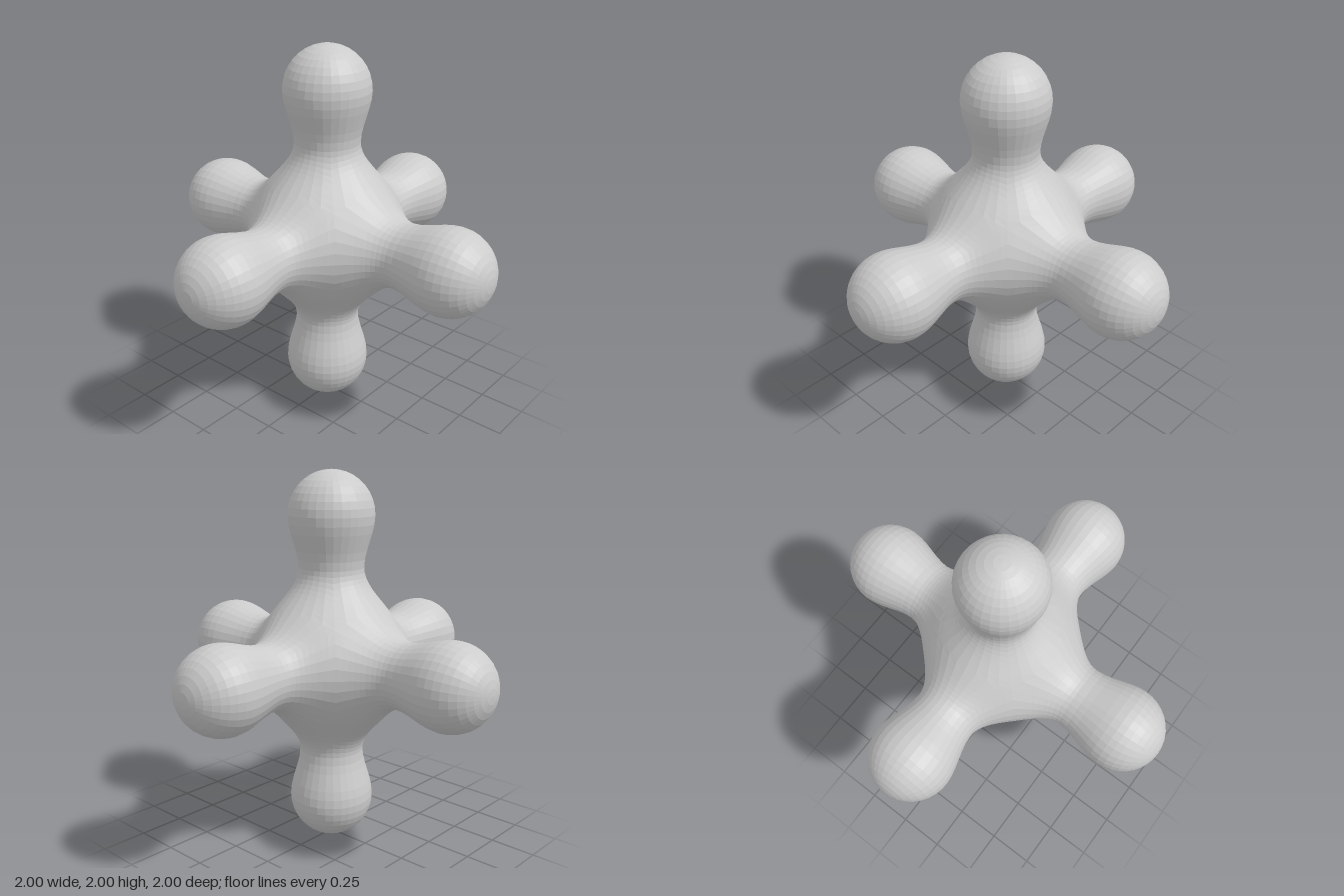
import * as THREE from 'three';

const SEG = 32, CORE = 9, NECK = 6, CAP = 9;   // rings around and along each arm
const NECK_Y = 0.5, NECK_R = 0.172, KNOB_Y = 0.77, KNOB_R = 0.227;

// Point [radial, y] on the rounded core: s runs from the seam (0) towards the arm axis.
function corePoint(angle, phi) {
  const r = Math.sin(angle), y = Math.cos(angle);
  const x = r * Math.cos(phi), z = r * Math.sin(phi);
  const rho = 0.365 + 0.12 * (x ** 4 + y ** 4 + z ** 4);
  return new THREE.Vector2(r * rho, y * rho);
}

// Profile of one arm in the plane at azimuth phi, from seam to tip.
function profile(phi) {
  const pts = [];
  // flare: Hermite curve from the seam with the neighbouring arms to the neck
  const seam = Math.atan(1 / Math.max(Math.abs(Math.cos(phi)), Math.abs(Math.sin(phi))));
  const p0 = corePoint(seam, phi), p1 = new THREE.Vector2(NECK_R, NECK_Y);
  const chord = p0.distanceTo(p1);
  const t0 = corePoint(seam - 0.01, phi).sub(p0).setLength(1.18 * chord);
  const t1 = new THREE.Vector2(0, 0.9 * chord);
  for (let i = 0; i < CORE; i++) {
    const t = i / CORE, t2 = t * t, t3 = t2 * t;
    pts.push(new THREE.Vector2()
      .addScaledVector(p0, 2 * t3 - 3 * t2 + 1).addScaledVector(t0, t3 - 2 * t2 + t)
      .addScaledVector(p1, 3 * t2 - 2 * t3).addScaledVector(t1, t3 - t2));
  }
  // swelling from neck to knob
  for (let i = 0; i < NECK; i++) {
    const t = i / NECK, s = t * t * (3 - 2 * t);
    pts.push(new THREE.Vector2(NECK_R + (KNOB_R - NECK_R) * s, NECK_Y + (KNOB_Y - NECK_Y) * t));
  }
  // round cap
  for (let i = 0; i <= CAP; i++) {
    const a = (i / CAP) * Math.PI / 2;
    pts.push(new THREE.Vector2(KNOB_R * Math.cos(a), KNOB_Y + (1 - KNOB_Y) * Math.sin(a)));
  }
  return pts;
}

// One arm along +y together with its sixth of the core.
function armGeometry() {
  const pos = [], index = [], rows = CORE + NECK + CAP + 1;
  for (let j = 0; j < SEG; j++) {
    const phi = (j / SEG) * Math.PI * 2;
    for (const p of profile(phi)) pos.push(p.x * Math.cos(phi), p.y, p.x * Math.sin(phi));
  }
  for (let j = 0; j < SEG; j++) {
    for (let i = 0; i < rows - 1; i++) {
      const a = j * rows + i, b = ((j + 1) % SEG) * rows + i;
      if (i < rows - 2) index.push(a, a + 1, b + 1);
      index.push(a, b + 1, b);
    }
  }
  const g = new THREE.BufferGeometry();
  g.setAttribute('position', new THREE.Float32BufferAttribute(pos, 3));
  g.setIndex(index);
  const flat = g.toNonIndexed();
  flat.computeVertexNormals();
  return flat;
}

export function createModel() {
  const group = new THREE.Group();
  group.name = 'sixKnobBody';
  const material = new THREE.MeshStandardMaterial({ color: 0xcccccc, flatShading: true });
  const geometry = armGeometry();
  const up = new THREE.Vector3(0, 1, 0);
  const arms = {
    topArm: [0, 1, 0], bottomArm: [0, -1, 0],
    leftArm: [1, 0, 0], rightArm: [-1, 0, 0],
    frontArm: [0, 0, 1], backArm: [0, 0, -1],
  };
  for (const [name, dir] of Object.entries(arms)) {
    const arm = new THREE.Mesh(geometry, material);
    arm.name = name;
    arm.quaternion.setFromUnitVectors(up, new THREE.Vector3(...dir));
    arm.position.y = 1;
    group.add(arm);
  }
  return group;
}
